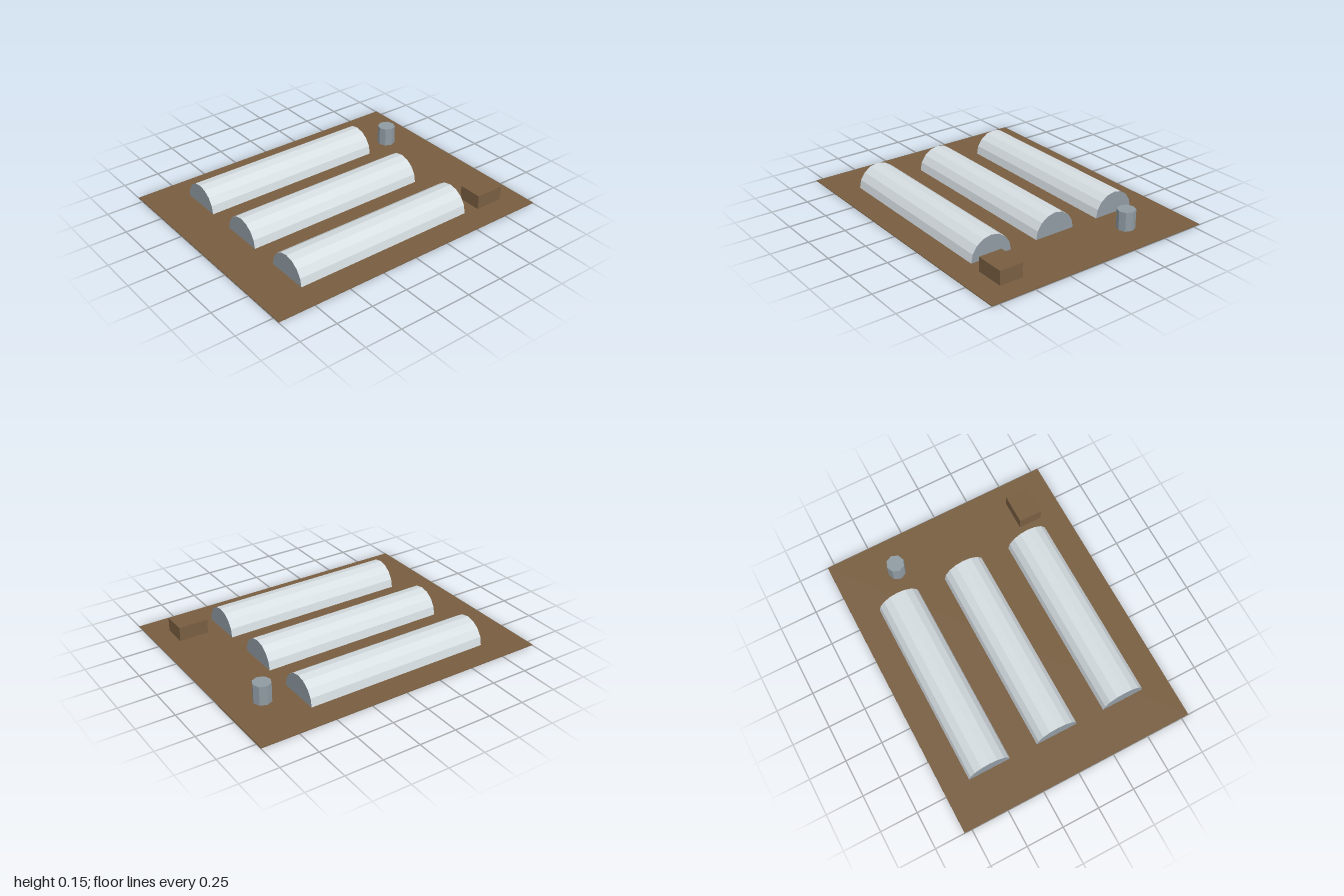
import * as THREE from 'three';

const GROUND = 0.006; // top of the soil slab
const RADIUS = 0.144;
const BAY = 0.32;
const BAYS = 4;
const START_X = -0.72;

function material(name, color) {
  const m = new THREE.MeshStandardMaterial({ color, flatShading: true });
  m.name = name;
  return m;
}

function addMesh(parent, name, geometry, mat, x, y, z) {
  const mesh = new THREE.Mesh(geometry, mat);
  mesh.name = name;
  mesh.position.set(x, y, z);
  parent.add(mesh);
  return mesh;
}

export function createModel() {
  const model = new THREE.Group();
  model.name = 'polytunnelFarm';

  const soil = material('soilBrown', 0x785e41);
  const film = material('paleFilm', 0xd5dde1);
  const steel = material('greySteel', 0x8f9ba2);
  film.side = THREE.DoubleSide;

  // Soil slab, a hair above the tank's base so the base shows underneath
  addMesh(model, 'ground', new THREE.BoxGeometry(2, GROUND - 0.0006, 1.6), soil,
    0, (GROUND + 0.0006) / 2, 0);

  // Half-round tunnel bay lying along x, and the flat wall closing each end
  const bayGeometry = new THREE.CylinderGeometry(RADIUS, RADIUS, BAY, 8, 1, true, 0, Math.PI);
  bayGeometry.rotateZ(Math.PI / 2);
  const wallGeometry = new THREE.CircleGeometry(RADIUS, 8, 0, Math.PI);

  // Three rows of tunnels
  for (const z of [-0.48, 0, 0.48]) {
    const tunnel = new THREE.Group();
    tunnel.name = 'tunnel';
    tunnel.position.set(0, GROUND, z);
    for (let i = 0; i < BAYS; i++) {
      addMesh(tunnel, 'tunnelBay', bayGeometry, film, START_X + BAY * (i + 0.5), 0, 0);
    }
    for (const side of [-1, 1]) {
      const x = side < 0 ? START_X : START_X + BAY * BAYS;
      addMesh(tunnel, 'endWall', wallGeometry, steel, x, 0, 0).rotation.y = side * Math.PI / 2;
    }
    model.add(tunnel);
  }

  // Water tank
  addMesh(model, 'waterTank', new THREE.CylinderGeometry(0.06, 0.06, 0.134, 8), steel,
    0.76, 0.067, -0.4);

  // Shed
  addMesh(model, 'shed', new THREE.BoxGeometry(0.2, 0.098, 0.16), soil,
    0.76, 0.053, 0.56);

  return model;
}
